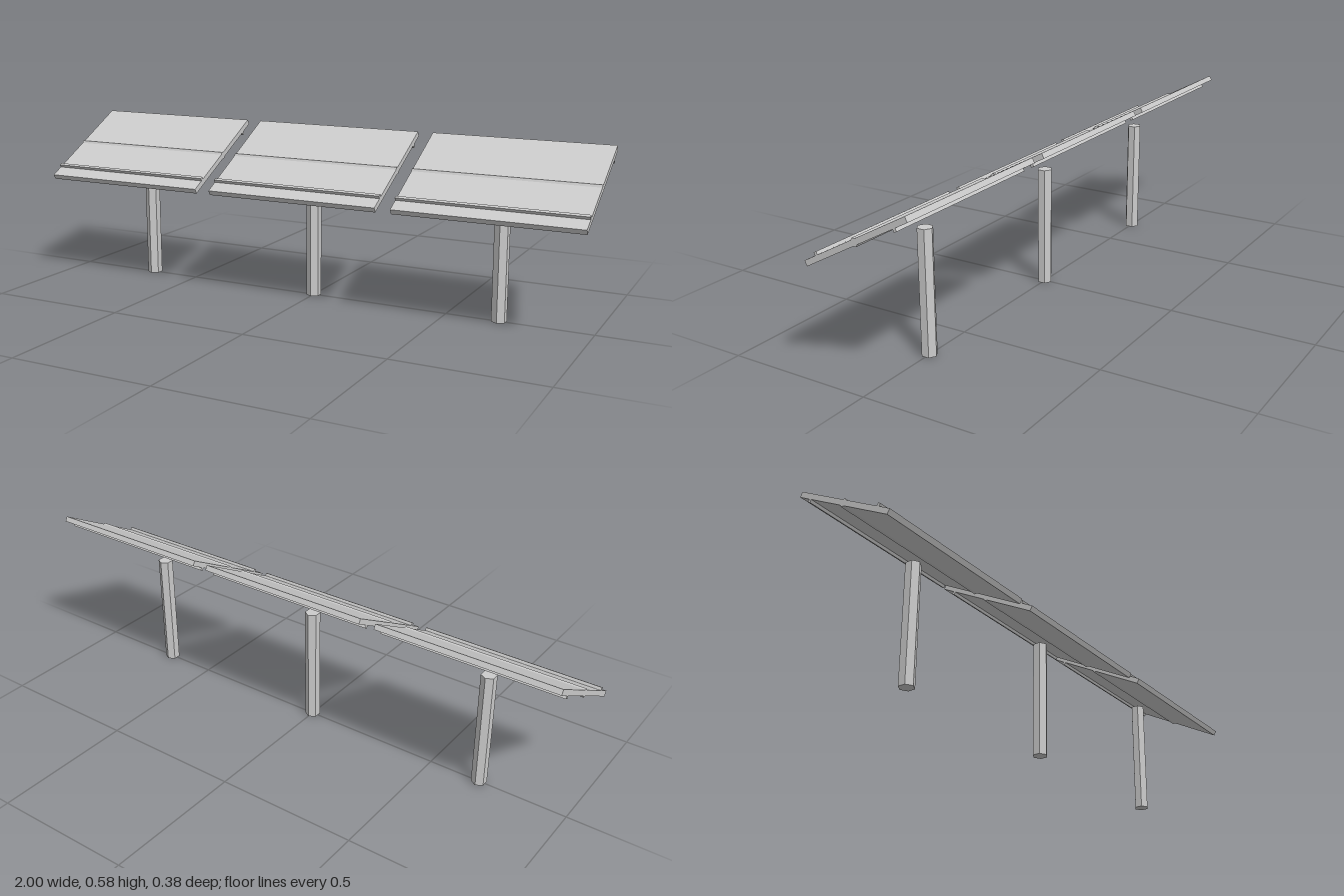
import * as THREE from 'three';

export function createModel() {
  const model = new THREE.Group();
  model.name = 'tiltedPanelRow';

  const grey = new THREE.MeshStandardMaterial({ color: 0xcccccc });
  grey.name = 'light grey';

  const width = 0.63, depth = 0.421, thick = 0.0186;
  const tilt = THREE.MathUtils.degToRad(28.6);
  const pivotY = 0.4745;

  const add = (parent, name, geometry, x, y, z) => {
    const mesh = new THREE.Mesh(geometry, grey);
    mesh.name = name;
    mesh.position.set(x, y, z);
    parent.add(mesh);
    return mesh;
  };
  // Six-sided bar with hard edges
  const hexBar = (radius, length) =>
    new THREE.CylinderGeometry(radius, radius, length, 6).toNonIndexed();

  const postGeo = hexBar(0.0265, 0.421);
  postGeo.computeVertexNormals();
  const axleGeo = hexBar(0.0142, width);
  axleGeo.computeVertexNormals();
  const slabGeo = new THREE.BoxGeometry(width, thick, depth);
  const ribGeo = new THREE.BoxGeometry(width, 0.0125, 0.0105);

  for (const x of [-0.685, 0, 0.685]) {
    const unit = new THREE.Group();
    unit.name = 'panelUnit';
    unit.position.x = x;
    model.add(unit);

    add(unit, 'post', postGeo, 0, 0.2105, 0);

    // Axle through the middle of the slab, just breaking both surfaces
    add(unit, 'axle', axleGeo, 0, pivotY, 0).rotation.z = Math.PI / 2;

    // Tilted slab with a rib on top near the front and below near the back
    const panel = new THREE.Group();
    panel.name = 'panel';
    panel.position.y = pivotY;
    panel.rotation.x = tilt;
    unit.add(panel);
    add(panel, 'slab', slabGeo, 0, 0, 0);
    add(panel, 'frontRib', ribGeo, 0, 0.0133, 0.157);
    add(panel, 'backRib', ribGeo, 0, -0.0133, -0.157);
  }
  return model;
}
